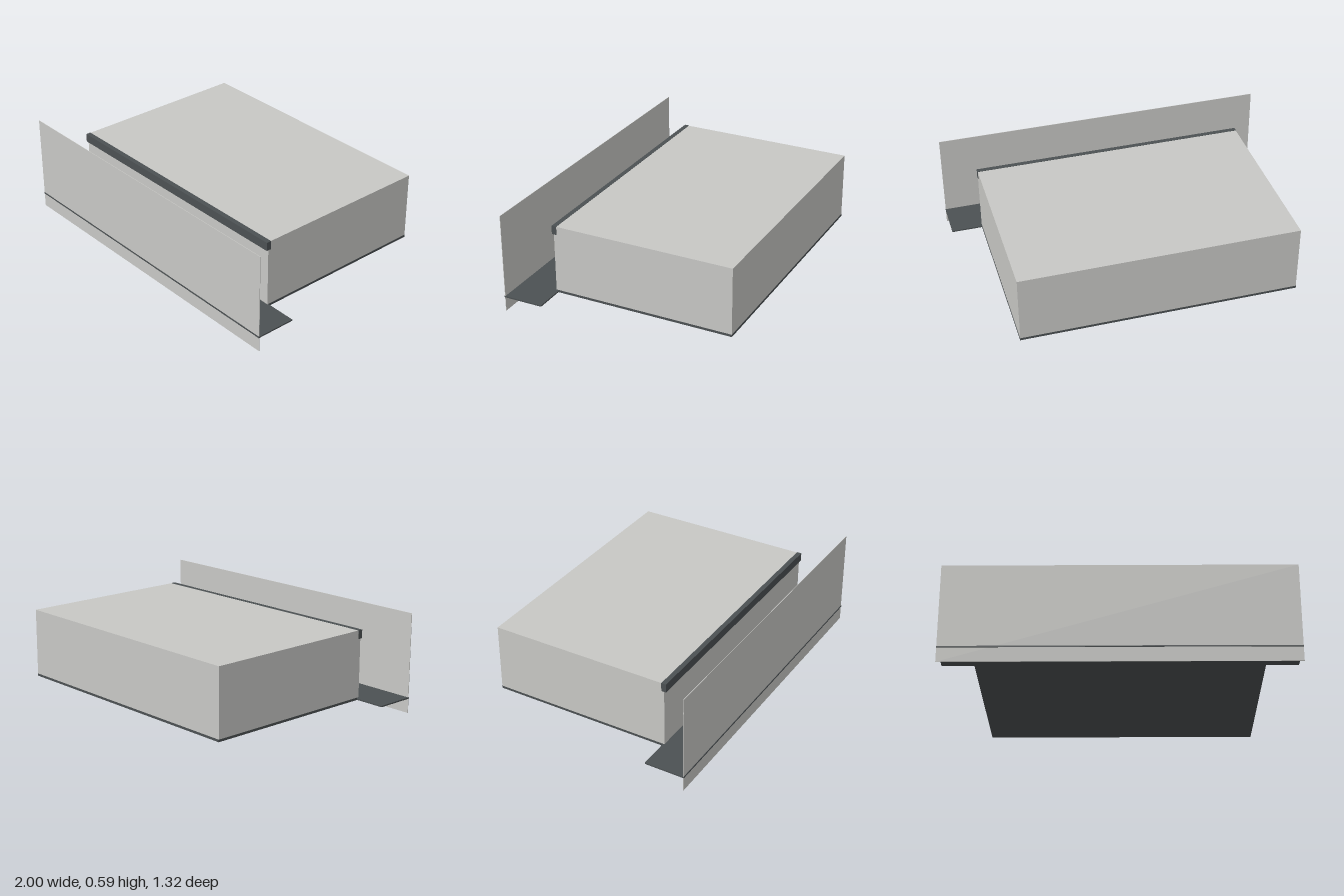
import * as THREE from 'three';

export function createModel() {
  const model = new THREE.Group();
  model.name = 'roomWithBalcony';

  const paleGrey = new THREE.MeshStandardMaterial({ color: 0xc8c8c5 });
  paleGrey.name = 'paleGrey';
  const slateGrey = new THREE.MeshStandardMaterial({ color: 0x4c5153 });
  slateGrey.name = 'slateGrey';

  // Box given by its limits on each axis, symmetric in x
  function slab(name, material, halfX, y0, y1, z0, z1) {
    const mesh = new THREE.Mesh(new THREE.BoxGeometry(halfX * 2, y1 - y0, z1 - z0), material);
    mesh.position.set(0, (y0 + y1) / 2, (z0 + z1) / 2);
    mesh.name = name;
    model.add(mesh);
  }

  // Closed room on its floor
  slab('roomBody', paleGrey, 0.815, 0.1, 0.5, -0.66, 0.432);
  slab('roomFloor', slateGrey, 0.816, 0.086, 0.1, -0.661, 0.42);

  // Lintel along the top front edge
  slab('frontLintel', slateGrey, 0.817, 0.45, 0.501, 0.415, 0.444);

  // Wider balcony floor, its edge showing through the parapet
  slab('balconyFloor', slateGrey, 1, 0.086, 0.094, 0.42, 0.661);
  slab('balconyParapet', paleGrey, 0.999, 0, 0.594, 0.655, 0.658);

  return model;
}
